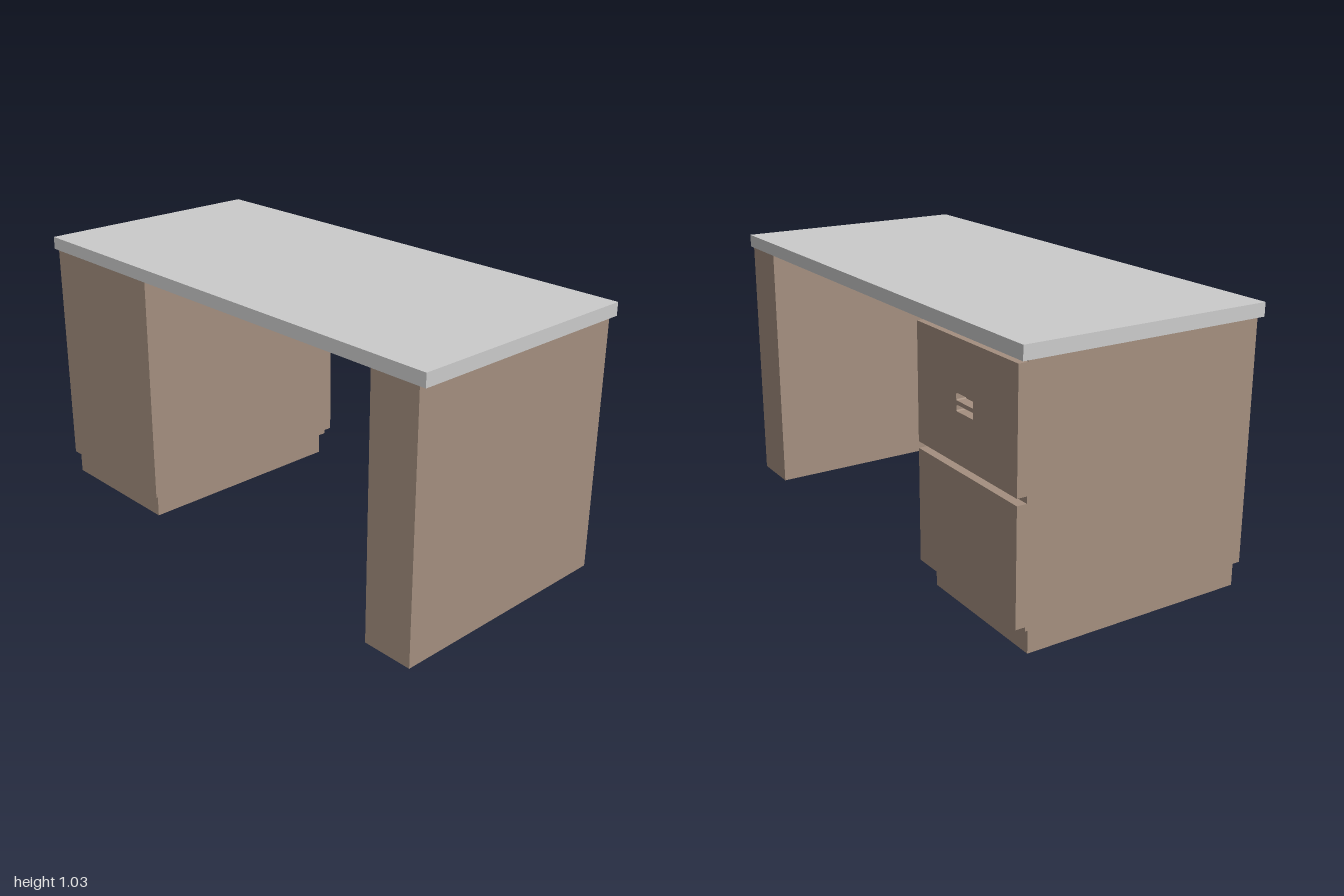
import * as THREE from 'three';

const wood = new THREE.MeshStandardMaterial({ color: 0xa48f7f });
const grey = new THREE.MeshStandardMaterial({ color: 0xcccccc });

// Box given by its limits on each axis
function box(name, [x0, x1], [y0, y1], [z0, z1], material) {
  const mesh = new THREE.Mesh(new THREE.BoxGeometry(x1 - x0, y1 - y0, z1 - z0), material);
  mesh.position.set((x0 + x1) / 2, (y0 + y1) / 2, (z0 + z1) / 2);
  mesh.name = name;
  return mesh;
}

// Slot outline with rounded corners
function slot(u0, u1, v0, v1, r) {
  const p = new THREE.Path();
  p.absarc(u1 - r, v1 - r, r, 0, Math.PI / 2);
  p.absarc(u0 + r, v1 - r, r, Math.PI / 2, Math.PI);
  p.absarc(u0 + r, v0 + r, r, Math.PI, Math.PI * 1.5);
  p.absarc(u1 - r, v0 + r, r, Math.PI * 1.5, Math.PI * 2);
  p.closePath();
  return p;
}

// Drawer front on the +x side; the shape's u axis runs along -z
function drawer(name, y0, y1, x0, x1, holes = []) {
  const shape = new THREE.Shape([
    new THREE.Vector2(0.389, y0), new THREE.Vector2(0.973, y0),
    new THREE.Vector2(0.973, y1), new THREE.Vector2(0.389, y1),
  ]);
  shape.holes.push(...holes);
  const geometry = new THREE.ExtrudeGeometry(shape, { depth: x1 - x0, bevelEnabled: false, curveSegments: 4 });
  const mesh = new THREE.Mesh(geometry, wood);
  mesh.rotation.y = Math.PI / 2;
  mesh.position.x = x0;
  mesh.name = name;
  return mesh;
}

export function createModel() {
  const desk = new THREE.Group();
  desk.name = 'desk';

  desk.add(box('desktop', [-0.475, 0.475], [0.977, 1.026], [-1, 1], grey));
  desk.add(box('panelLeg', [-0.472, 0.472], [0, 0.977], [0.775, 0.974], wood));

  // Drawer cabinet on a recessed plinth
  const cabinet = new THREE.Group();
  cabinet.name = 'cabinet';
  const inner = 0.436, face = 0.472;
  cabinet.add(box('plinth', [-0.455, 0.417], [0, 0.09], [-0.96, -0.404], wood));
  cabinet.add(box('cabinetBody', [-0.472, inner], [0.09, 0.977], [-0.973, -0.389], wood));

  // Drawer fronts, separated by finger grooves; the upper has two pull slots
  const pulls = [[0.757, 0.783], [0.721, 0.743]].map(([a, b]) => slot(0.631, 0.73, a, b, 0.005));
  cabinet.add(drawer('lowerDrawer', 0.105, 0.52, inner, face));
  cabinet.add(drawer('upperDrawer', 0.544, 0.963, inner, face, pulls));
  desk.add(cabinet);

  return desk;
}
